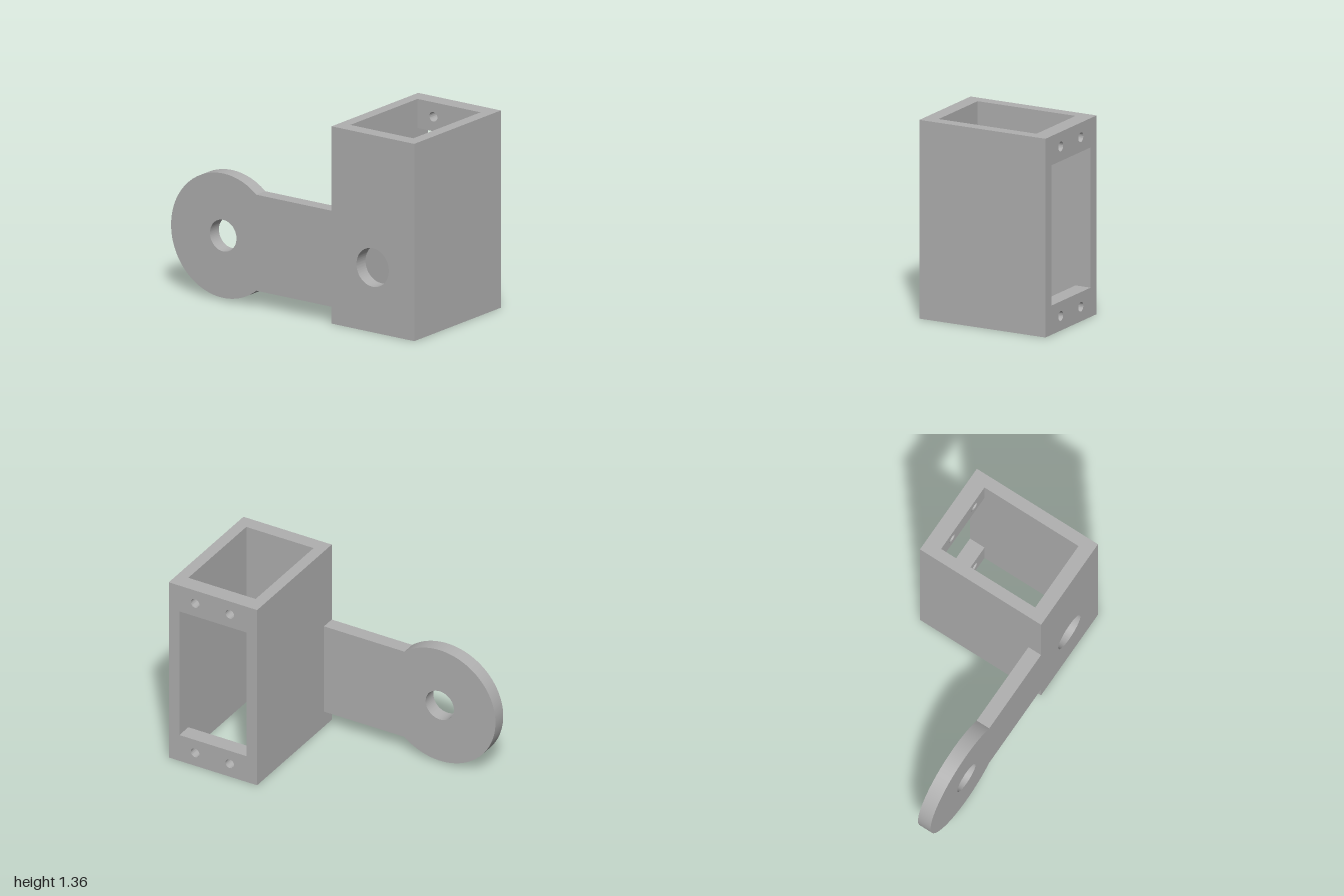
import * as THREE from 'three';
import { toCreasedNormals } from 'three/addons/utils/BufferGeometryUtils.js';

const LEFT = 1, RIGHT = 0.32, TOP = 1.36;      // housing outline
const FRONT = 0.48, FRONT_IN = 0.38, BACK = -0.48, BACK_IN = -0.365;
const AXIS_Y = 0.447;                          // height of both large bores

function roundHole(x, y, r) {
  return new THREE.Path().absarc(x, y, r, 0, Math.PI * 2, true);
}

function rectangle(target, x0, y0, x1, y1) {
  target.moveTo(x0, y0);
  target.lineTo(x1, y0);
  target.lineTo(x1, y1);
  target.lineTo(x0, y1);
  target.closePath();
  return target;
}

// Extrudes a front-facing plate between two depths
function plate(name, shape, z0, z1, material) {
  const geometry = new THREE.ExtrudeGeometry(shape, { depth: z1 - z0, bevelEnabled: false, curveSegments: 64 });
  geometry.translate(0, 0, z0);
  const mesh = new THREE.Mesh(toCreasedNormals(geometry, Math.PI / 7), material);
  mesh.name = name;
  return mesh;
}

export function createModel() {
  const group = new THREE.Group();
  group.name = 'motorBracket';
  const grey = new THREE.MeshStandardMaterial({ color: 0xb0b0b0 });
  grey.name = 'grey';

  // Front plate: housing front, arm and round end in one outline
  const discX = -0.5715, discR = 0.4285, armHalf = 0.331;
  const angle = Math.asin(armHalf / discR);
  const front = new THREE.Shape();
  front.moveTo(RIGHT, 0);
  front.lineTo(LEFT, 0);
  front.lineTo(LEFT, TOP);
  front.lineTo(RIGHT, TOP);
  front.lineTo(RIGHT, AXIS_Y + armHalf);
  front.absarc(discX, AXIS_Y, discR, angle, Math.PI * 2 - angle, false);
  front.lineTo(RIGHT, AXIS_Y - armHalf);
  front.closePath();
  front.holes.push(roundHole(discX, AXIS_Y, 0.109), roundHole(0.658, AXIS_Y, 0.133));
  group.add(plate('frontPlateWithArm', front, FRONT_IN, FRONT, grey));

  // Back wall with its window and four screw holes
  const back = rectangle(new THREE.Shape(), RIGHT, 0, LEFT, TOP);
  back.holes.push(rectangle(new THREE.Path(), 0.4, 0.2, 0.918, 1.16));
  for (const x of [0.53, 0.797]) {
    for (const y of [0.1, TOP - 0.1]) back.holes.push(roundHole(x, y, 0.033));
  }
  group.add(plate('backWall', back, BACK, BACK_IN, grey));

  // Side walls joining front and back, leaving the housing open above and below
  for (const [name, x0, x1] of [['rightWall', RIGHT, 0.4], ['leftWall', 0.918, LEFT]]) {
    const wall = new THREE.Mesh(new THREE.BoxGeometry(x1 - x0, TOP, FRONT_IN - BACK_IN), grey);
    wall.position.set((x0 + x1) / 2, TOP / 2, (FRONT_IN + BACK_IN) / 2);
    wall.name = name;
    group.add(wall);
  }
  return group;
}
